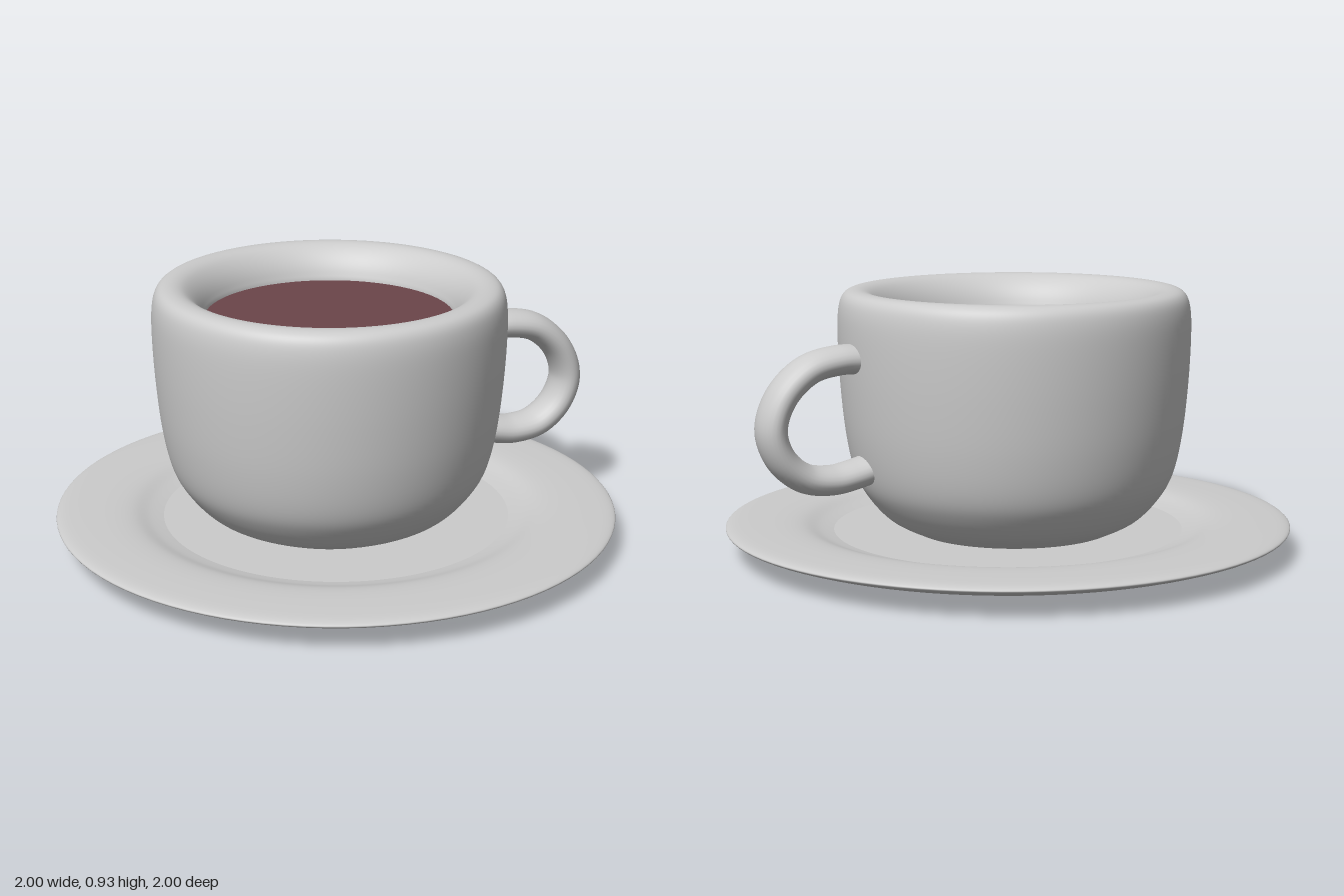
import * as THREE from 'three';

const grey = new THREE.MeshStandardMaterial({ color: 0xcccccc });
const teaColour = new THREE.MeshStandardMaterial({ color: 0x6b454a });

// Smooth curve through [radius, height] pairs
function smooth(pairs, steps) {
  const curve = new THREE.SplineCurve(pairs.map(([r, y]) => new THREE.Vector2(r, y)));
  return curve.getPoints(steps).map((p) => new THREE.Vector2(Math.max(p.x, 0), p.y));
}

function turned(name, points, material = grey) {
  const mesh = new THREE.Mesh(new THREE.LatheGeometry(points, 96), material);
  mesh.name = name;
  return mesh;
}

const straight = (pairs) => pairs.map(([r, y]) => new THREE.Vector2(r, y));

export function createModel() {
  const group = new THREE.Group();

  // Saucer: foot disc, sloping dish with rounded lip, flat well
  const saucer = new THREE.Group();
  saucer.name = 'saucer';
  saucer.add(
    turned('saucerFoot', straight([[0, 0], [0.15, 0.003], [0.64, 0.01], [0.67, 0.012], [0.675, 0.03]])),
    turned('saucerDish', smooth([
      [0.64, 0.018], [0.75, 0.028], [0.88, 0.05], [0.97, 0.077], [1, 0.094],
      [0.975, 0.106], [0.9, 0.11], [0.8, 0.11], [0.73, 0.103], [0.67, 0.084], [0.62, 0.072],
    ], 60)),
    turned('saucerWell', straight([[0.62, 0.072], [0, 0.072]])),
  );
  group.add(saucer);

  // Cup, a little off the saucer's centre
  const cup = new THREE.Group();
  cup.name = 'cup';
  cup.position.set(-0.02, 0, -0.01);
  cup.add(
    turned('cupBase', straight([[0, 0.073], [0.36, 0.073]])),
    turned('cupBody', smooth([
      [0.36, 0.073], [0.45, 0.12], [0.52, 0.195], [0.565, 0.28], [0.595, 0.42], [0.613, 0.6],
      [0.62, 0.77], [0.615, 0.865], [0.595, 0.912], [0.555, 0.926], [0.51, 0.916], [0.47, 0.88],
      [0.443, 0.83], [0.432, 0.77], [0.42, 0.55], [0.36, 0.25], [0.2, 0.15], [0, 0.14],
    ], 110)),
    turned('tea', straight([[0.437, 0.805], [0, 0.805]]), teaColour),
  );
  group.add(cup);

  // Handle: a tube widened sideways, its ends sunk in the cup wall
  const path = new THREE.CatmullRomCurve3([
    [0.56, 0.71], [0.65, 0.711], [0.76, 0.685], [0.855, 0.6], [0.893, 0.49],
    [0.86, 0.39], [0.78, 0.32], [0.68, 0.302], [0.6, 0.313], [0.53, 0.33],
  ].map(([x, y]) => new THREE.Vector3(x, y, 0)));
  const handle = new THREE.Mesh(new THREE.TubeGeometry(path, 64, 0.051, 24), grey);
  handle.name = 'handle';
  handle.scale.z = 1.53;
  handle.position.z = 0.015;
  group.add(handle);

  return group;
}
